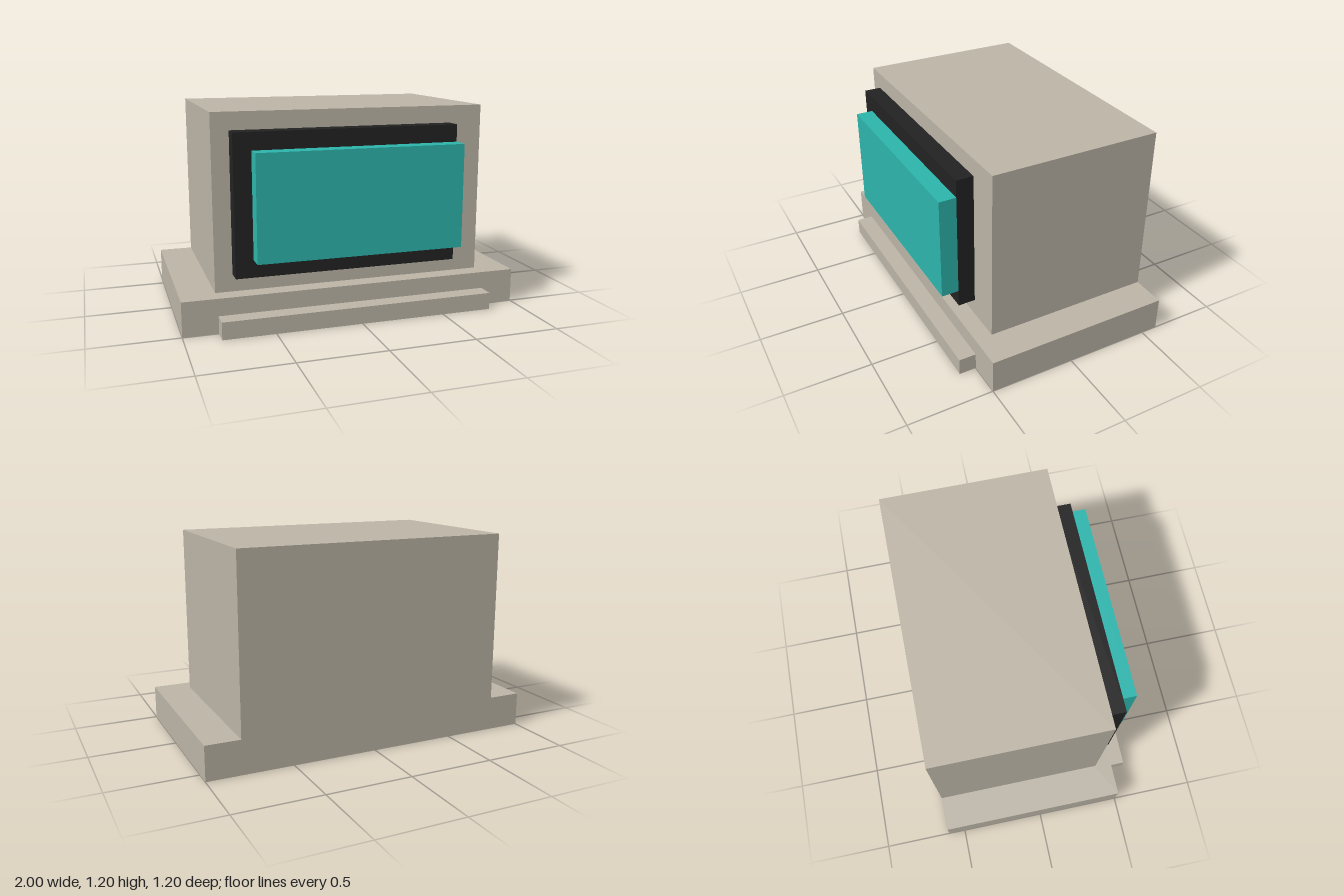
import * as THREE from 'three';

const material = (name, color) => {
  const m = new THREE.MeshStandardMaterial({ color });
  m.name = name;
  return m;
};

// Box given by its extents along each axis
function block(name, mat, [x0, x1], [y0, y1], [z0, z1]) {
  const mesh = new THREE.Mesh(new THREE.BoxGeometry(x1 - x0, y1 - y0, z1 - z0), mat);
  mesh.position.set((x0 + x1) / 2, (y0 + y1) / 2, (z0 + z1) / 2);
  mesh.name = name;
  return mesh;
}

export function createModel() {
  const beige = material('beige casing', 0xbbb4a6);
  const black = material('black bezel', 0x222222);
  const teal = material('teal screen', 0x2cb4ab);

  const model = new THREE.Group();
  model.name = 'retroComputer';
  model.add(
    // Casing: wide base, monitor housing flush at the back, low front ledge
    block('base', beige, [-1, 1], [0, 0.2], [-0.6, 0.5]),
    block('housing', beige, [-0.8, 0.8], [0.2, 1.2], [-0.6, 0.4]),
    block('keyboard', beige, [-0.8, 0.8], [0, 0.1], [0.5, 0.6]),
    // Off-centre bezel, with the screen flush with its left edge
    block('bezel', black, [-0.7, 0.6], [0.3, 1.1], [0.4, 0.5]),
    block('screen', teal, [-0.6, 0.6], [0.4, 1.0], [0.5, 0.6])
  );
  return model;
}
